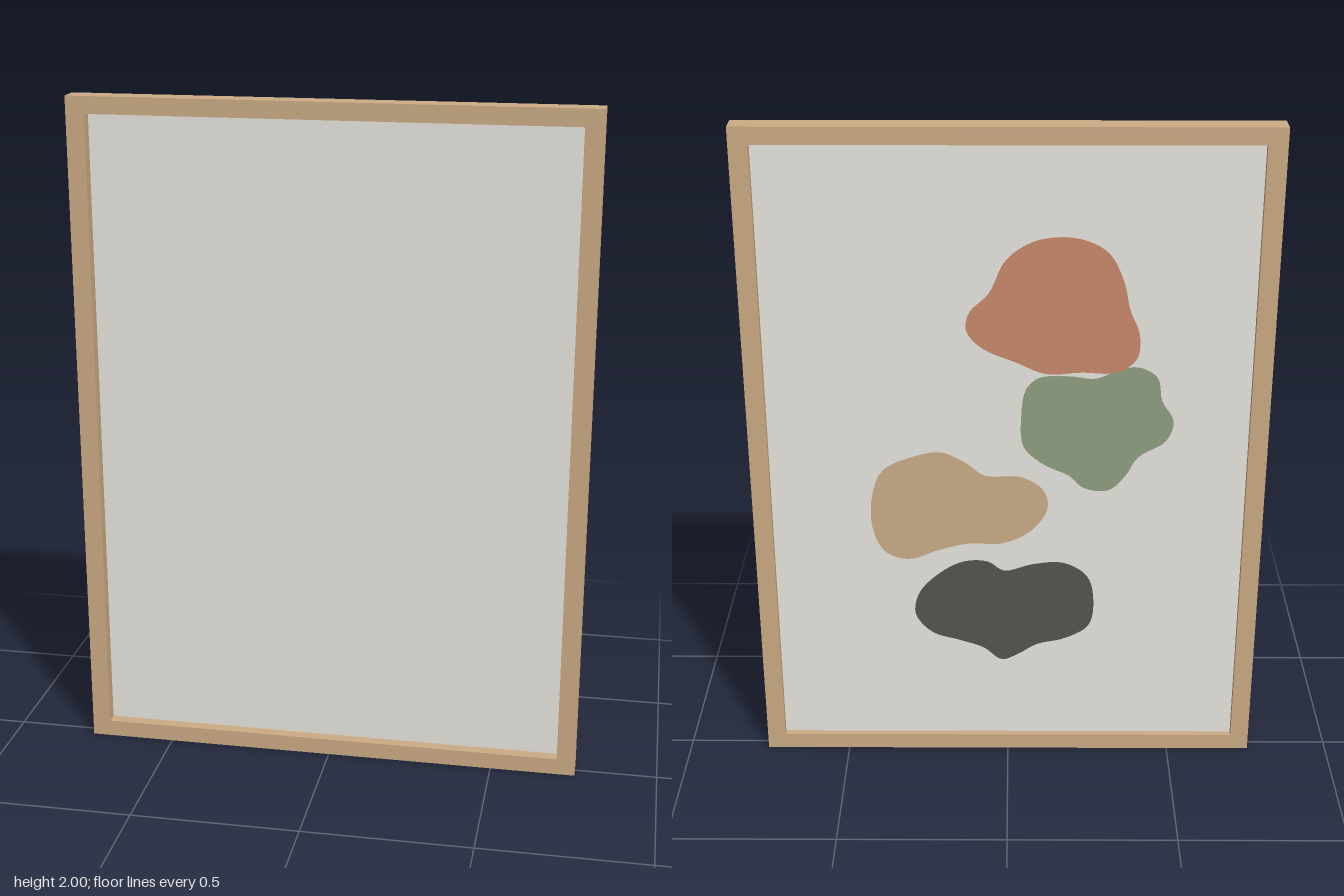
import * as THREE from 'three';

const W = 1.51, H = 2, DEPTH = 0.07;
const INNER_W = 1.4, INNER_H = 1.9;
const PANEL_FRONT = 0, PANEL_BACK = -0.015;

function material(name, color) {
  const m = new THREE.MeshStandardMaterial({ color });
  m.name = name;
  return m;
}

function rectPoints(w, h) {
  return [[-w, -h], [w, -h], [w, h], [-w, h]].map(([x, y]) => new THREE.Vector2(x / 2, H / 2 + y / 2));
}

// Painted outlines as x, y pairs, joined by a smooth closed curve
const blobs = [
  { name: 'terracottaShape', color: 0xc8896a, lift: 0.003, pts: [
    -0.1, 1.68, -0.2, 1.68, -0.28, 1.64, -0.325, 1.556, -0.345, 1.47, -0.374, 1.395, -0.367, 1.32,
    -0.31, 1.28, -0.21, 1.28, -0.11, 1.275, -0.025, 1.31, 0.075, 1.355, 0.118, 1.407, 0.11, 1.46,
    0.053, 1.52, 0.011, 1.61, -0.039, 1.655] },
  { name: 'sageShape', color: 0x8f9f80, lift: 0.002, pts: [
    -0.09, 1.262, -0.18, 1.267, -0.253, 1.26, -0.325, 1.29, -0.38, 1.294, -0.43, 1.262, -0.445, 1.19,
    -0.48, 1.126, -0.46, 1.063, -0.38, 1.01, -0.345, 0.95, -0.296, 0.903, -0.224, 0.91, -0.18, 0.95,
    -0.103, 0.988, -0.046, 1.044, -0.039, 1.145, -0.053, 1.226] },
  { name: 'sandShape', color: 0xcbac88, lift: 0.002, pts: [
    0.28, 1.01, 0.196, 1.025, 0.125, 0.992, 0.068, 0.95, -0.039, 0.945, -0.103, 0.904, -0.118, 0.843,
    -0.068, 0.766, 0.018, 0.724, 0.118, 0.723, 0.21, 0.7, 0.296, 0.67, 0.367, 0.695, 0.402, 0.77,
    0.402, 0.88, 0.367, 0.966] },
  { name: 'charcoalShape', color: 0x54554d, lift: 0.002, pts: [
    0.132, 0.661, 0.061, 0.661, 0.011, 0.63, -0.075, 0.652, -0.167, 0.657, -0.239, 0.611, -0.26, 0.526,
    -0.246, 0.44, -0.175, 0.394, -0.089, 0.372, -0.032, 0.337, 0.018, 0.317, 0.075, 0.36, 0.146, 0.386,
    0.231, 0.415, 0.281, 0.48, 0.267, 0.554, 0.203, 0.623] },
];

function blobShape(pts) {
  const points = [];
  for (let i = 0; i < pts.length; i += 2) points.push(new THREE.Vector3(pts[i], pts[i + 1], 0));
  const curve = new THREE.CatmullRomCurve3(points, true);
  return new THREE.Shape(curve.getPoints(90).slice(0, -1).map((p) => new THREE.Vector2(p.x, p.y)));
}

export function createModel() {
  const group = new THREE.Group();
  group.name = 'framedPicture';
  const add = (name, geometry, mat) => {
    const mesh = new THREE.Mesh(geometry, mat);
    mesh.name = name;
    group.add(mesh);
    return mesh;
  };

  // Wooden frame with a rectangular opening
  const outline = new THREE.Shape(rectPoints(W, H));
  outline.holes.push(new THREE.Path(rectPoints(INNER_W, INNER_H)));
  const frame = new THREE.ExtrudeGeometry(outline, { depth: DEPTH, bevelEnabled: false });
  frame.translate(0, 0, -DEPTH / 2);
  add('frame', frame, material('wood', 0xcbab84));

  // Canvas panel set inside the opening
  const panel = new THREE.BoxGeometry(INNER_W, INNER_H, PANEL_FRONT - PANEL_BACK);
  add('canvasPanel', panel, material('canvas', 0xe8e6e0))
    .position.set(0, H / 2, (PANEL_FRONT + PANEL_BACK) / 2);

  // Abstract painted shapes on the back of the panel
  for (const { name, color, lift, pts } of blobs) {
    const plate = new THREE.ExtrudeGeometry(blobShape(pts), { depth: lift, bevelEnabled: false });
    plate.translate(0, 0, PANEL_BACK - lift);
    add(name, plate, material(name.replace('Shape', ''), color));
  }
  return group;
}
